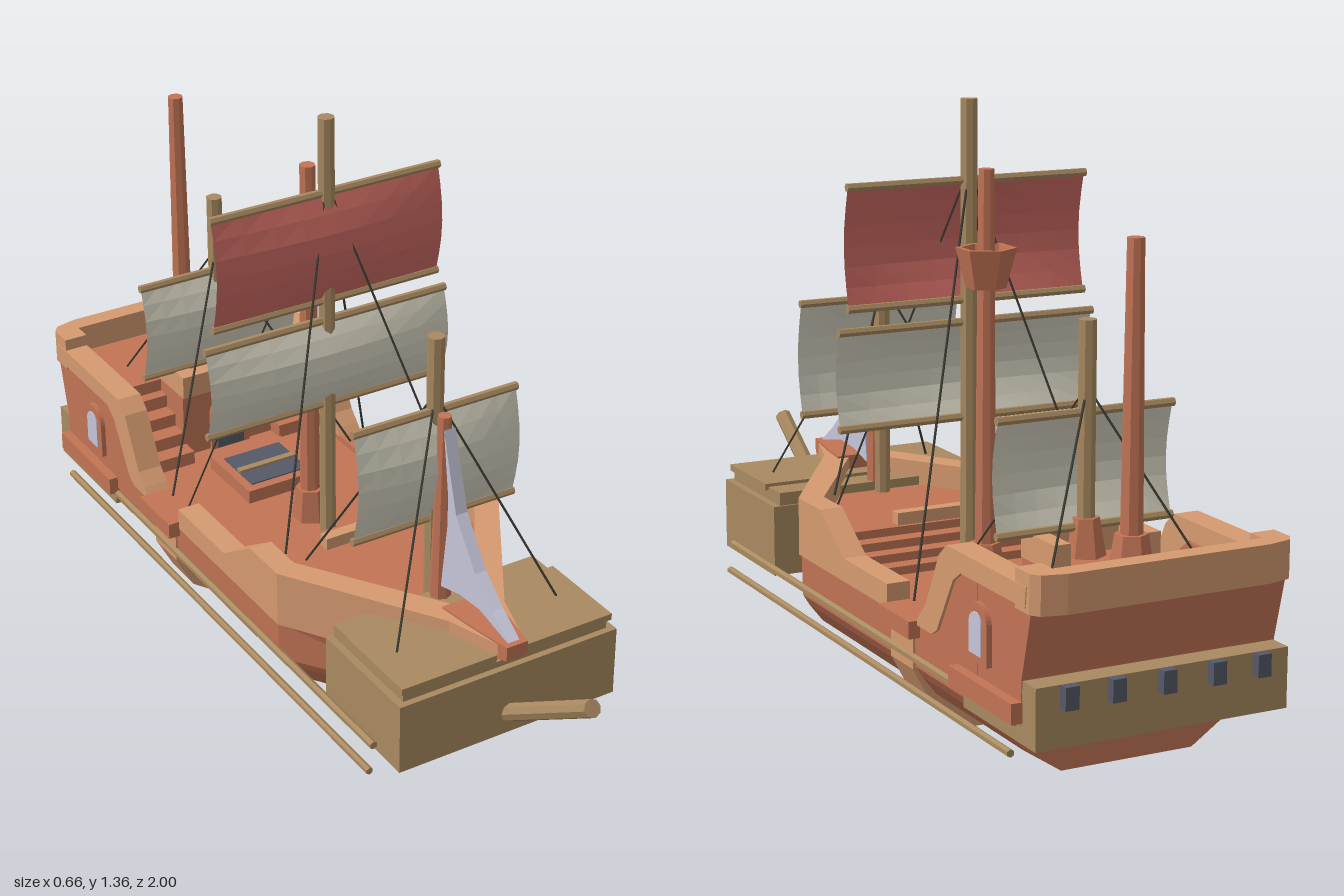
import * as THREE from 'three';

const mat = (name, color, side = THREE.FrontSide) => new THREE.MeshStandardMaterial({ name, color, side });

export function createModel() {
  const ship = new THREE.Group();
  ship.name = 'sailingShip';
  const red = mat('redBrownWood', 0xc27455);
  const peach = mat('paleTrimWood', 0xd69a70);
  const tan = mat('tanWood', 0xa98a60);
  const dark = mat('darkRope', 0x3a3a32);
  const slate = mat('slateGlass', 0x565a68);
  const pale = mat('paleLavender', 0xc6c6da);
  const cream = mat('creamCloth', 0xd8d4c2, THREE.DoubleSide);
  const crimson = mat('redCloth', 0xcc6a62, THREE.DoubleSide);

  // ---- helpers ----
  const add = (name, geo, material) => {
    const g = geo.index ? geo.toNonIndexed() : geo;
    g.computeVertexNormals();
    const m = new THREE.Mesh(g, material);
    m.name = name;
    ship.add(m);
    return m;
  };
  // box from min and max corners
  const box = (name, material, x0, x1, y0, y1, z0, z1) =>
    add(name, new THREE.BoxGeometry(x1 - x0, y1 - y0, z1 - z0)
      .translate((x0 + x1) / 2, (y0 + y1) / 2, (z0 + z1) / 2), material);
  // tapered rod between two points
  const rod = (name, material, a, b, r0, r1 = r0, sides = 8) => {
    const A = new THREE.Vector3(...a), B = new THREE.Vector3(...b), d = B.clone().sub(A);
    const g = new THREE.CylinderGeometry(r1, r0, d.length(), sides);
    g.applyQuaternion(new THREE.Quaternion().setFromUnitVectors(new THREE.Vector3(0, 1, 0), d.normalize()));
    return add(name, g.translate((A.x + B.x) / 2, (A.y + B.y) / 2, (A.z + B.z) / 2), material);
  };
  const outline = pts => new THREE.Shape(pts.map(p => new THREE.Vector2(...p)));
  const extrude = (shape, depth) => new THREE.ExtrudeGeometry(shape, { depth, bevelEnabled: false, curveSegments: 8 });
  // (z, y) outline swept from x0 to x1
  const side = (name, material, pts, x0, x1) =>
    add(name, extrude(outline(pts), x1 - x0).rotateY(-Math.PI / 2).translate(x1, 0, 0), material);
  // (x, z) outline raised from y0 to y1
  const plan = (name, material, pts, y0, y1) =>
    add(name, extrude(outline(pts.map(([x, z]) => [x, -z])), y1 - y0).rotateX(-Math.PI / 2).translate(0, y0, 0), material);
  // closed cross-sections joined into a solid, always facing outward
  const loft = (name, material, rings) => {
    const tris = [], n = rings[0].length;
    for (let i = 0; i + 1 < rings.length; i++) for (let j = 0; j < n; j++) {
      const k = (j + 1) % n, a = rings[i], b = rings[i + 1];
      tris.push([a[j], a[k], b[k]], [a[j], b[k], b[j]]);
    }
    const e = rings[rings.length - 1];
    for (let j = 1; j + 1 < n; j++) tris.push([rings[0][0], rings[0][j + 1], rings[0][j]], [e[0], e[j], e[j + 1]]);
    const V = p => new THREE.Vector3(...p);
    const volume = tris.reduce((s, t) => s + V(t[0]).dot(V(t[1]).cross(V(t[2]))), 0);
    if (volume < 0) tris.forEach(t => t.reverse());
    const g = new THREE.BufferGeometry();
    g.setAttribute('position', new THREE.Float32BufferAttribute(tris.flat(2), 3));
    return add(name, g, material);
  };

  // ---- hull ----
  const section = half => [...half, ...half.slice().reverse().map(([x, y, z]) => [-x, y, z])];
  const mid = z => [[0.16, 0.03, z], [0.25, 0.09, z], [0.285, 0.135, z], [0.3, 0.16, z], [0.303, 0.26, z]];
  loft('hull', red, [
    section(mid(-0.83)), section(mid(0.18)),
    section([[0.04, 0.128, 0.5], [0.042, 0.135, 0.51], [0.045, 0.14, 0.52], [0.048, 0.16, 0.53], [0.06, 0.26, 0.57]]),
  ]);
  const rib = [[0.16, 0], [0.262, 0.07], [0.307, 0.155], [0.307, 0.25]];
  add('midshipBand', extrude(outline([...rib, ...rib.slice().reverse().map(([x, y]) => [-x, y])]), 0.11)
    .translate(0, 0, -0.43), peach);

  // foredeck, its steps and the stem
  plan('foredeck', red, [[-0.26, 0.04], [-0.26, 0.17], [-0.05, 0.52], [0.05, 0.52], [0.26, 0.17], [0.26, 0.04]], 0.25, 0.34);
  for (let i = 0; i < 3; i++)
    box('foredeckStep', red, -0.255, 0.255, 0.255, 0.28 + 0.02 * i, -0.08 + 0.04 * i, 0.05);
  box('foredeckBeam', peach, -0.11, 0.11, 0.34, 0.37, 0.05, 0.08);
  loft('stem', red, [[0.5, 0.06, 0.13], [0.58, 0.05, 0.33], [0.71, 0.028, 0.37]].map(([z, w, y]) =>
    [[w, y, z], [w, 0.405, z], [-w, 0.405, z], [-w, y, z]]));

  // ---- bulwarks, castle sides and fittings, both sides ----
  const foreWall = [ // outer x, z, inner x, z, bottom, top
    [0.307, -0.3, 0.25, -0.3, 0.26, 0.315], [0.307, -0.07, 0.25, -0.07, 0.26, 0.315],
    [0.307, 0.06, 0.25, 0.06, 0.26, 0.4], [0.307, 0.185, 0.25, 0.165, 0.26, 0.4],
    [0.075, 0.55, 0.03, 0.5, 0.26, 0.4], [0.03, 0.69, 0.005, 0.66, 0.36, 0.4]];
  const arch = (w, h) => {
    const s = new THREE.Shape();
    s.moveTo(-w, 0); s.lineTo(w, 0); s.lineTo(w, h - w);
    s.absarc(0, h - w, w, 0, Math.PI); s.lineTo(-w, 0);
    return s;
  };
  for (const s of [1, -1]) {
    const span = (a, b) => s > 0 ? [a, b] : [-b, -a];
    loft('foreBulwark', peach, foreWall.map(([ox, oz, ix, iz, b, t]) =>
      [[s * ox, b, oz], [s * ox, t, oz], [s * ix, t, iz], [s * ix, b, iz]]));
    box('gangwayCap', red, ...span(0.25, 0.332), 0.235, 0.275, -0.46, -0.305);
    side('castleSide', red, [[-0.45, 0.2], [-0.46, 0.27], [-0.5, 0.28], [-0.6, 0.43], [-0.73, 0.43], [-0.73, 0.2]], ...span(0.25, 0.305));
    side('castleRail', peach, [[-0.45, 0.265], [-0.47, 0.29], [-0.5, 0.32], [-0.565, 0.45], [-0.6, 0.48], [-0.95, 0.48],
      [-0.945, 0.435], [-0.665, 0.435], [-0.63, 0.41], [-0.555, 0.28], [-0.53, 0.265]], ...span(0.25, 0.312));
    box('sternLedge', red, ...span(0.28, 0.328), 0.185, 0.23, -0.92, -0.64);
    rod('upperSidePole', tan, [s * 0.305, 0.182, -0.895], [s * 0.305, 0.182, 0.605], 0.01, 0.01, 6);
    rod('lowerSidePole', tan, [s * 0.315, 0.115, -0.895], [s * 0.315, 0.115, 0.605], 0.009, 0.009, 6);
    // arched side window
    const turn = g => g.rotateY(s * Math.PI / 2);
    add('sideWindowFrame', turn(extrude(arch(0.047, 0.13), 0.014)).translate(s * 0.303, 0.265, -0.745), red);
    add('sideWindowPane', turn(extrude(arch(0.027, 0.092), 0.006)).translate(s * 0.314, 0.283, -0.745), pale);
    // stairs to the stern deck
    for (let i = 0; i < 4; i++)
      box('sternStair', red, ...span(0.125, 0.255), 0.25, 0.295 + 0.034 * i, -0.74, -0.555 - 0.045 * i);
    box('balconySideRail', peach, ...span(0.09, 0.13), 0.43, 0.49, -0.74, -0.6);
  }

  // ---- stern castle ----
  side('sternCastle', red, [[-0.72, 0.18], [-0.915, 0.18], [-0.92, 0.28], [-0.96, 0.44], [-0.72, 0.43]], -0.304, 0.304);
  box('cabin', red, -0.13, 0.13, 0.25, 0.43, -0.74, -0.6);
  box('balconyRail', peach, -0.13, 0.13, 0.43, 0.49, -0.632, -0.595);
  add('cabinDoorFrame', extrude(arch(0.055, 0.155), 0.012).translate(0, 0.26, -0.602), red);
  add('cabinDoor', extrude(arch(0.038, 0.13), 0.006).translate(0, 0.262, -0.594), slate);
  plan('sternRail', peach, [[-0.31, -0.9], [-0.31, -0.96], [-0.295, -0.98], [-0.24, -0.993], [0.24, -0.993], [0.295, -0.98],
    [0.31, -0.96], [0.31, -0.9], [0.25, -0.9], [0.25, -0.945], [-0.25, -0.945], [-0.25, -0.9]], 0.425, 0.51);
  box('sternGallery', tan, -0.302, 0.302, 0.14, 0.275, -0.975, -0.66);
  for (const x of [-0.23, -0.12, 0, 0.12, 0.23])
    box('galleryWindow', slate, x - 0.016, x + 0.016, 0.225, 0.275, -0.998, -0.97);

  // ---- bow box and bowsprit ----
  box('bowBox', tan, -0.29, 0.29, 0.155, 0.33, 0.375, 0.688);
  box('bowBoxLid', tan, -0.272, 0.272, 0.33, 0.362, 0.38, 0.672);
  box('bowBoxLidEdge', tan, -0.28, 0.28, 0.354, 0.37, 0.45, 0.68);
  rod('bowsprit', tan, [0, 0.19, 0.66], [0, 0.407, 0.988], 0.021);

  // ---- deck hatch ----
  box('hatchFrame', red, -0.102, 0.102, 0.255, 0.295, -0.51, -0.31);
  box('hatchOpening', slate, -0.08, 0.08, 0.292, 0.298, -0.48, -0.335);
  box('hatchBar', tan, -0.08, 0.08, 0.295, 0.304, -0.413, -0.395);

  // ---- red masts with collars ----
  rod('foreStump', red, [0, 0.34, 0.4], [0, 0.835, 0.405], 0.026, 0.016);
  rod('mainStump', red, [0, 0.26, -0.185], [0, 1.21, -0.185], 0.026, 0.019);
  rod('sternStump', red, [0, 0.43, -0.835], [0, 1.145, -0.835], 0.026, 0.019);
  rod('mainCollar', red, [0, 0.26, -0.185], [0, 0.345, -0.185], 0.045, 0.036, 6);
  rod('sternCollar', red, [0, 0.43, -0.835], [0, 0.525, -0.835], 0.05, 0.036, 6);
  rod('balconyCollar', red, [0, 0.43, -0.645], [0, 0.515, -0.645], 0.045, 0.03, 6);
  add('crowsNest', new THREE.LatheGeometry([[0, 0.94], [0.046, 0.94], [0.07, 1.032], [0.056, 1.032], [0.042, 0.965], [0, 0.965]]
    .map(p => new THREE.Vector2(...p)), 6).translate(0, 0, -0.185), red);

  // ---- tan masts, yards, square sails and rigging ----
  const sail = (name, material, z, w, y0, y1) => {
    const h = y1 - y0, g = new THREE.PlaneGeometry(2 * w, h, 8, 6), p = g.attributes.position;
    for (let i = 0; i < p.count; i++) {
      const across = Math.cos(p.getX(i) / w * Math.PI / 2), up = Math.cos(p.getY(i) / h * Math.PI);
      p.setZ(i, 0.042 * up * (0.55 + 0.45 * across));
    }
    add(name, g.translate(0, (y0 + y1) / 2, z), material);
    for (const y of [y0, y1]) rod('yard', tan, [-w - 0.003, y, z], [w + 0.003, y, z], 0.01, 0.01, 6);
  };
  const masts = [ // z, base, top, rope height, rope ends as x, y, z
    { z: 0.365, y0: 0.34, y1: 1.015, rope: 0.87, ends: [[0.215, 0.37, 0.555], [0.22, 0.4, 0.17]] },
    { z: -0.1, y0: 0.26, y1: 1.36, rope: 1.2, ends: [[0.26, 0.28, -0.34], [0.24, 0.39, 0.11]] },
    { z: -0.645, y0: 0.43, y1: 0.945, rope: 0.8, ends: [[0.26, 0.275, -0.42], [0.18, 0.44, -0.81]] }];
  for (const m of masts) {
    rod('mast', tan, [0, m.y0, m.z], [0, m.y1, m.z], 0.02);
    for (const [x, y, z] of m.ends) for (const s of [1, -1])
      rod('rope', dark, [0, m.rope, m.z], [s * x, y, z], 0.003, 0.003, 4);
  }
  sail('foreSail', cream, 0.368, 0.214, 0.555, 0.83);
  sail('mainSail', cream, -0.098, 0.325, 0.625, 0.848);
  sail('topSail', crimson, -0.098, 0.302, 0.9, 1.175);
  sail('mizzenSail', cream, -0.643, 0.214, 0.495, 0.745);

  // ---- triangular bow sail ----
  side('bowSail', pale, [[0.7, 0.402], [0.63, 0.45], [0.56, 0.51], [0.48, 0.62], [0.425, 0.81], [0.447, 0.65],
    [0.446, 0.57], [0.425, 0.402], [0.5, 0.422], [0.58, 0.428]], -0.015, 0.015);
  return ship;
}
